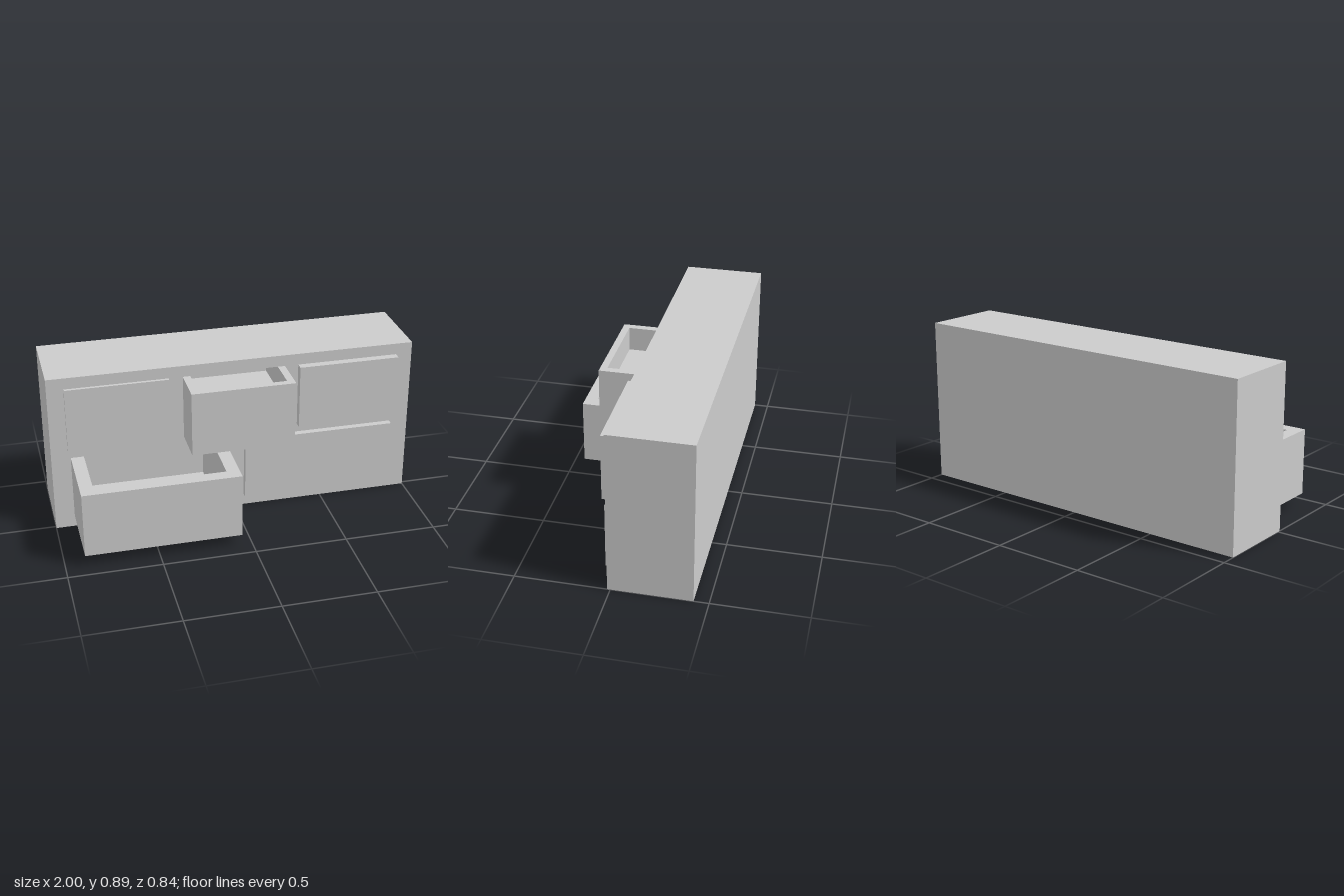
import * as THREE from 'three';

const material = new THREE.MeshStandardMaterial({ color: 0xcccccc, flatShading: true });
const FRONT = 0.016, BACK = -0.422, CAVITY_BACK = -0.22;

// Drawer fronts: x range, y range, front z; open drawers also have a cavity
const drawers = [
  { name: 'upperRightDrawer', x: [-0.91, -0.356], y: [0.474, 0.832], z: 0.033 },
  { name: 'upperMiddleDrawer', x: [-0.28, 0.28], y: [0.474, 0.832], z: 0.232,
    cavity: { x: [-0.24, 0.24], floor: 0.7, z: 0.195 } },
  { name: 'upperLeftDrawer', x: [0.354, 0.91], y: [0.474, 0.832], z: 0.058 },
  { name: 'lowerRightDrawer', x: [-0.896, -0.056], y: [0.064, 0.425], z: 0.422,
    cavity: { x: [-0.826, -0.126], floor: 0.1, z: 0.354 } },
  { name: 'lowerLeftDrawer', x: [0.054, 0.894], y: [0.064, 0.425], z: 0.05 },
];

function rectangle(target, [x0, x1], [y0, y1]) {
  target.moveTo(x0, y0);
  target.lineTo(x1, y0);
  target.lineTo(x1, y1);
  target.lineTo(x0, y1);
  target.closePath();
  return target;
}

function addMesh(parent, name, geometry) {
  const mesh = new THREE.Mesh(geometry, material);
  mesh.name = name;
  parent.add(mesh);
}

function addBox(parent, name, [x0, x1], [y0, y1], [z0, z1]) {
  const geometry = new THREE.BoxGeometry(x1 - x0, y1 - y0, z1 - z0);
  geometry.translate((x0 + x1) / 2, (y0 + y1) / 2, (z0 + z1) / 2);
  addMesh(parent, name, geometry);
}

export function createModel() {
  const group = new THREE.Group();
  group.name = 'chestOfDrawers';

  // Cabinet: pierced front block closed by a solid back
  const outline = rectangle(new THREE.Shape(), [-1, 1], [0, 0.895]);
  for (const { y, cavity } of drawers) {
    if (cavity) outline.holes.push(rectangle(new THREE.Path(), cavity.x, [cavity.floor, y[1]]));
  }
  const body = new THREE.ExtrudeGeometry(outline, { depth: FRONT - CAVITY_BACK, bevelEnabled: false });
  body.translate(0, 0, CAVITY_BACK);
  addMesh(group, 'cabinetBody', body);
  addBox(group, 'cabinetBack', [-1, 1], [0, 0.895], [BACK, CAVITY_BACK]);

  for (const { name, x, y, z, cavity } of drawers) {
    // Closed drawers are plain raised panels
    if (!cavity) {
      addBox(group, name, x, y, [FRONT, z]);
      continue;
    }
    // Open drawers: a U-shaped rim standing on a solid floor
    const drawer = new THREE.Group();
    drawer.name = name;
    group.add(drawer);
    const rim = new THREE.Shape([
      [x[0], FRONT], [x[0], z], [x[1], z], [x[1], FRONT],
      [cavity.x[1], FRONT], [cavity.x[1], cavity.z], [cavity.x[0], cavity.z], [cavity.x[0], FRONT],
    ].map(([px, pz]) => new THREE.Vector2(px, -pz)));
    const walls = new THREE.ExtrudeGeometry(rim, { depth: y[1] - y[0], bevelEnabled: false });
    walls.rotateX(-Math.PI / 2);
    walls.translate(0, y[0], 0);
    addMesh(drawer, 'drawerWalls', walls);
    addBox(drawer, 'drawerFloor', cavity.x, [y[0], cavity.floor], [FRONT, cavity.z]);
  }
  return group;
}
